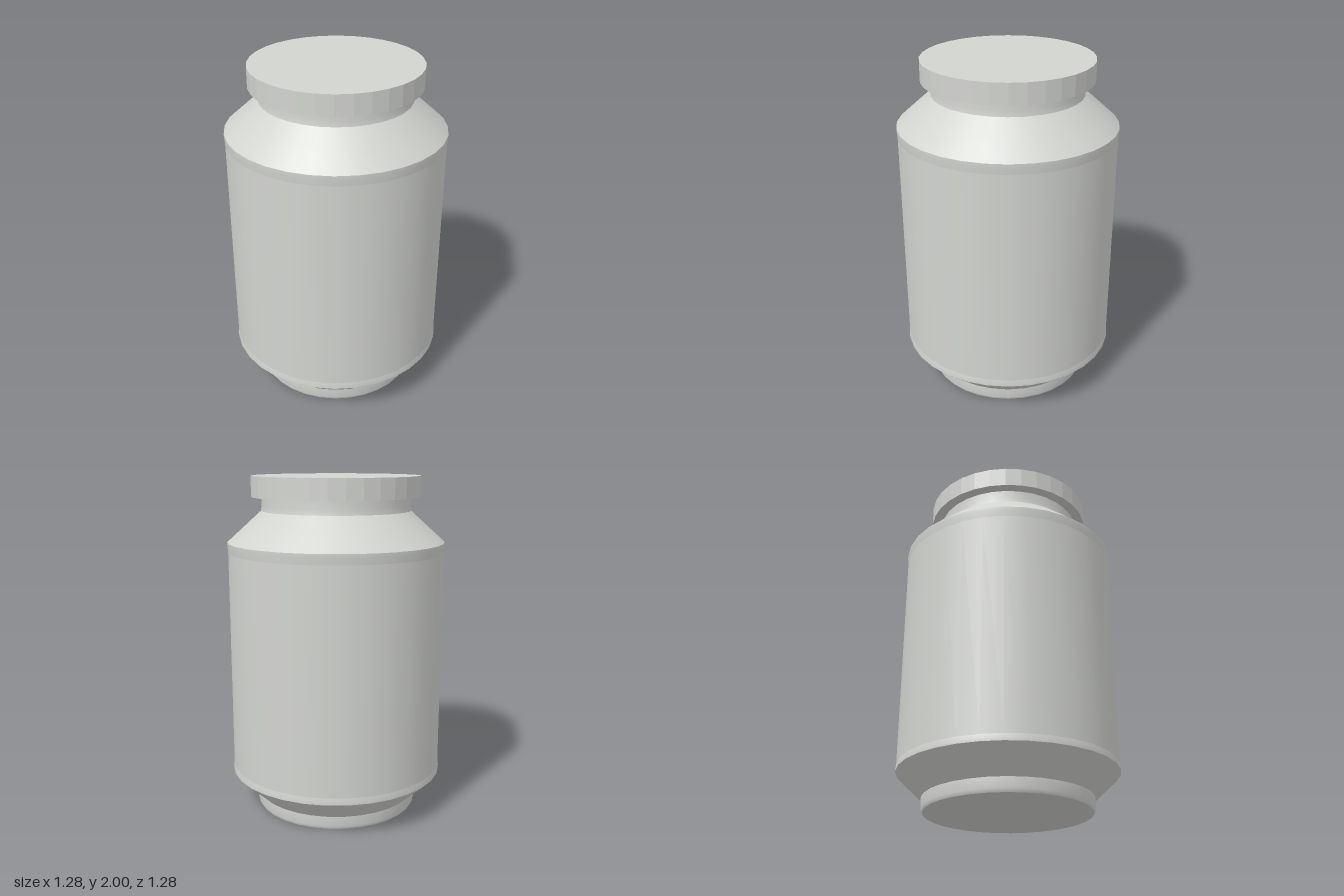
import * as THREE from 'three';

const SIDES = 32;

export function createModel() {
  const jar = new THREE.Group();
  jar.name = 'jar';
  const grey = new THREE.MeshStandardMaterial({ color: 0xd2d4d0 });
  grey.name = 'pale grey';

  const add = (name, geometry, y = 0) => {
    const mesh = new THREE.Mesh(geometry, grey);
    mesh.name = name;
    mesh.position.y = y;
    jar.add(mesh);
  };
  // Smooth ring turned from [radius, height] pairs, listed bottom to top
  const turned = (points) =>
    new THREE.LatheGeometry(points.map(([r, y]) => new THREE.Vector2(r, y)), SIDES);

  // Flat underside and stepped foot
  add('base', turned([[0, 0], [0.48, 0]]));
  add('foot', turned([[0.48, 0], [0.49, 0.02], [0.49, 0.08]]));
  add('lowerTaper', turned([[0.49, 0.08], [0.57, 0.155], [0.64, 0.22]]));

  // Straight wall, very slightly recessed between two rims
  add('lowerRim', turned([[0.64, 0.22], [0.64, 0.235], [0.636, 0.26]]));
  add('wall', turned([[0.636, 0.26], [0.636, 1.56]]));
  add('upperRim', turned([[0.636, 1.56], [0.64, 1.6], [0.64, 1.62]]));

  // Sloping shoulder and neck
  add('shoulder', turned([[0.64, 1.62], [0.54, 1.71], [0.44, 1.8]]));
  add('neck', turned([[0.44, 1.8], [0.435, 1.83], [0.435, 1.89]]));

  // Faceted lid
  const lid = new THREE.CylinderGeometry(0.495, 0.495, 0.12, SIDES).toNonIndexed();
  lid.computeVertexNormals();
  add('lid', lid, 1.94);

  return jar;
}
